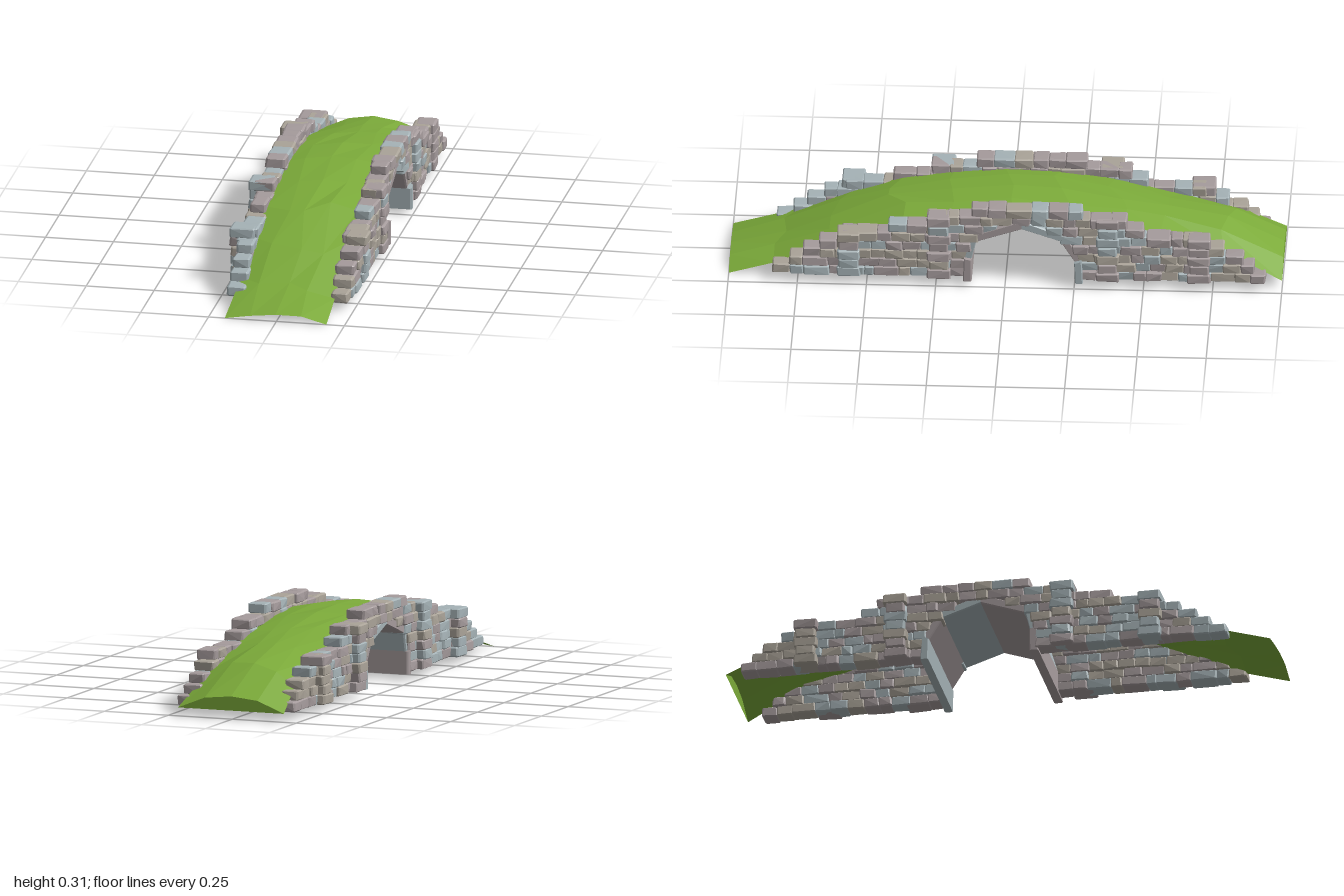
import * as THREE from 'three';
import { mergeGeometries } from 'three/addons/utils/BufferGeometryUtils.js';
import { ConvexGeometry } from 'three/addons/geometries/ConvexGeometry.js';

let seed = 7;
function rnd() {
  seed = (seed * 16807) % 2147483647;
  return seed / 2147483647;
}
const jit = (a) => (rnd() * 2 - 1) * a;

// Piecewise linear lookup in [position, value] pairs, positions descending
function lookup(table, p) {
  for (let i = 1; i < table.length; i++) {
    const [a, va] = table[i - 1], [b, vb] = table[i];
    if (p >= b) return va + (vb - va) * (a - p) / (a - b);
  }
  return table[table.length - 1][1];
}

const STONE_COLORS = [0xa59b9c, 0xa5b2b6, 0xaaa398];
const stoneMaterials = STONE_COLORS.map((color) => new THREE.MeshStandardMaterial({ color, flatShading: true }));

// Rough-hewn block with chamfered corners and slightly uneven sides
const CHAMFER = [0.007, 0.004, 0.005];
function stone(x0, x1, y0, y1, z0, z1) {
  const wobble = 0.0025;
  const pts = [];
  for (const sx of [-1, 1]) for (const sy of [-1, 1]) for (const sz of [-1, 1]) {
    const c = [
      (sx < 0 ? x0 : x1) + jit(wobble),
      (sy < 0 ? y0 : y1) + jit(wobble * 0.4),
      (sz < 0 ? z0 : z1) + jit(wobble),
    ];
    const s = [sx, sy, sz];
    for (let k = 0; k < 3; k++) {
      pts.push(new THREE.Vector3(...c.map((v, i) => (i === k ? v : v - s[i] * CHAMFER[i] * (0.7 + rnd() * 0.6)))));
    }
  }
  return new ConvexGeometry(pts);
}

// Courses from the bottom up: [front end z, back end z, opening front z, opening back z]
const ROWS = [
  [0.84, -0.94, 0.143, -0.272], [0.78, -0.9, 0.14, -0.27], [0.73, -0.86, 0.133, -0.262], [0.67, -0.79, 0.125, -0.245],
  [0.59, -0.71, 0.1, -0.2], [0.42, -0.5, 0.03, -0.15], [0.28, -0.44], [0.12, -0.28],
];
const ROW_H = 0.035, BASE = 0.03;
// Buttress columns: [z, number of courses]
const BUTTRESSES = [[0.565, 5], [0.24, 7], [-0.37, 7], [-0.7, 5]];

function buildWall(side) {
  const wall = new THREE.Group();
  wall.name = side > 0 ? 'leftWall' : 'rightWall';
  const inner = side > 0 ? 0.165 : 0.149, outer = side > 0 ? 0.235 : 0.219;
  const buckets = stoneMaterials.map(() => []);
  const add = (a, b, ...rest) => {
    const g = stone(Math.min(side * a, side * b), Math.max(side * a, side * b), ...rest);
    buckets[Math.floor(rnd() * 3)].push(g);
  };

  // Coursed stones on both sides of the opening
  ROWS.forEach(([front, back, openFront, openBack], r) => {
    const runs = openFront === undefined ? [[front, back]] : [[front, openFront], [openBack, back]];
    const y = BASE + r * ROW_H;
    for (const [from, to] of runs) {
      const n = Math.max(1, Math.round((from - to) / 0.062));
      const cuts = [from];
      for (let i = 1; i < n; i++) cuts.push(from + (to - from) * (i + jit(0.25)) / n);
      cuts.push(to);
      for (let i = 0; i < n; i++) {
        add(inner + jit(0.006), outer + jit(0.007), y - 0.001, y + ROW_H + 0.001, cuts[i + 1] - 0.0015, cuts[i] + 0.0015);
      }
    }
  });

  // Projecting buttress stones
  for (const [z, count] of BUTTRESSES) {
    for (let r = 0; r < count; r++) {
      const y = BASE + r * ROW_H, half = r % 2 ? 0.035 : 0.042;
      add(inner + 0.01, 0.25 + jit(0.005), y - 0.001, y + ROW_H + 0.001, z - half, z + half);
    }
  }

  buckets.forEach((list, i) => {
    const mesh = new THREE.Mesh(mergeGeometries(list), stoneMaterials[i]);
    mesh.name = `wallStones${i + 1}`;
    wall.add(mesh);
  });
  return wall;
}

// Long slabs lining the passage: [inner z, inner y, outer z, outer y] at each joint
const VAULT = [
  [0.12, 0.02, 0.152, 0.02], [0.12, 0.105, 0.148, 0.11], [0.104, 0.172, 0.122, 0.198], [-0.06, 0.227, -0.06, 0.262],
  [-0.2, 0.18, -0.218, 0.203], [-0.25, 0.1, -0.277, 0.11], [-0.253, 0.02, -0.282, 0.02],
];
function buildVault() {
  const vault = new THREE.Group();
  vault.name = 'archVault';
  for (let i = 0; i < VAULT.length - 1; i++) {
    const pts = [];
    // The feet reach out past the slabs above them
    const foot = i === 0 || i === VAULT.length - 2;
    const x0 = foot ? -0.22 : -0.212, x1 = foot ? 0.247 : 0.23;
    for (const [iz, iy, oz, oy] of [VAULT[i], VAULT[i + 1]]) {
      for (const [x, inset] of [[x0, 0.12], [x0 + 0.006, 0], [x1 - 0.006, 0], [x1, 0.12]]) {
        const dz = (oz - iz) * inset, dy = (oy - iy) * inset;
        pts.push(new THREE.Vector3(x, iy + dy, iz + dz), new THREE.Vector3(x, oy - dy, oz - dz));
      }
    }
    const mesh = new THREE.Mesh(new ConvexGeometry(pts), stoneMaterials[i % 2]);
    mesh.name = foot ? 'vaultFoot' : 'vaultSlab';
    vault.add(mesh);
  }
  return vault;
}

// Crown height, edge drop, half width and sideways shift of the turf along z
const CROWN = [[1, 0.025], [0.8, 0.083], [0.6, 0.168], [0.5, 0.21], [0.4, 0.24], [0.2, 0.27], [0, 0.287],
  [-0.2, 0.281], [-0.4, 0.252], [-0.6, 0.212], [-0.8, 0.175], [-1, 0.083]];
const DROP = [[1, 0.025], [0.5, 0.022], [-0.5, 0.022], [-0.8, 0.045], [-1, 0.052]];
const HALF = [[1, 0.187], [0.8, 0.182], [0.6, 0.17], [-0.75, 0.17], [-0.9, 0.195], [-1, 0.207]];
const SHIFT = [[1, -0.003], [0.6, 0.005], [-1, 0.005]];

function buildTurf() {
  const group = new THREE.Group();
  group.name = 'grassPath';
  const material = new THREE.MeshStandardMaterial({ color: 0x7cab3a, flatShading: true, side: THREE.DoubleSide });
  const nx = 4, nz = 10;
  const geo = new THREE.PlaneGeometry(2, 2, nx, nz).rotateX(-Math.PI / 2);
  const p = geo.attributes.position;
  const backEdge = [];
  for (let i = 0; i < p.count; i++) {
    const end = Math.abs(p.getZ(i)) > 0.99, rim = Math.abs(p.getX(i)) > 0.99;
    const z = p.getZ(i) + (end ? 0 : jit(0.05));
    const u = p.getX(i) + (rim || end ? 0 : jit(0.12));
    // The front lip leans, its crest lying to the left of centre
    const lean = z > 0.99 && !rim ? 0.01 * u : 0;
    const y = lookup(CROWN, z) - lookup(DROP, z) * Math.pow(Math.abs(u), 2.3) + lean + (end ? 0 : jit(0.003));
    p.setXYZ(i, u * lookup(HALF, z) + lookup(SHIFT, z), y, z);
    if (i <= nx) backEdge.push(new THREE.Vector2(p.getX(i), p.getY(i)));
  }
  const top = new THREE.Mesh(geo.toNonIndexed(), material);
  top.geometry.computeVertexNormals();
  top.name = 'turf';

  // Upright face closing the higher back end
  const cap = new THREE.Mesh(new THREE.ShapeGeometry(new THREE.Shape(backEdge)), material);
  cap.position.z = -1;
  cap.name = 'turfEnd';
  group.add(top, cap);
  return group;
}

export function createModel() {
  seed = 7;
  const model = new THREE.Group();
  model.name = 'stoneBridge';
  model.add(buildTurf(), buildVault(), buildWall(1), buildWall(-1));
  return model;
}
